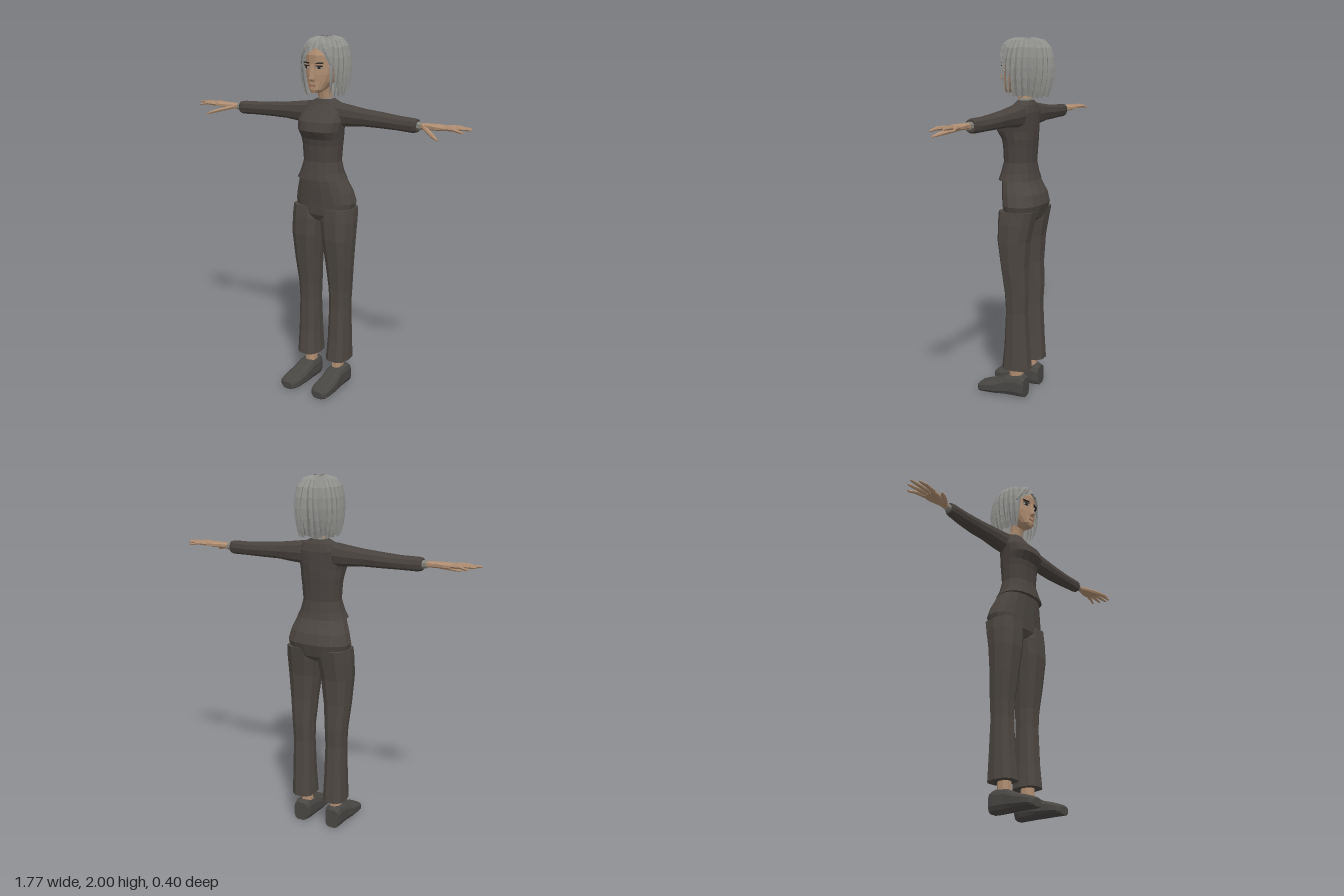
import * as THREE from 'three';

const mat = (name, color, extra = {}) => {
  const m = new THREE.MeshStandardMaterial({ color, ...extra });
  m.name = name;
  return m;
};

// Axis letter -> [axis, u, v] component indices, with u x v = axis
const AXES = { x: [0, 1, 2], y: [1, 2, 0], z: [2, 0, 1] };

function flatGeometry(positions) {
  const g = new THREE.BufferGeometry();
  g.setAttribute('position', new THREE.Float32BufferAttribute(positions, 3));
  g.computeVertexNormals();
  return g;
}

// Capped loft through sections [axisPos, uMin, uMax, vMin, vMax]; e < 1 makes them boxier
function loft(axis, sections, n = 12, e = 0.85) {
  const [A, U, V] = AXES[axis];
  const bend = t => Math.sign(t) * Math.pow(Math.abs(t), e);
  const ring = ([p, u0, u1, v0, v1], shrink = 1) => Array.from({ length: n }, (_, i) => {
    const a = (i + 0.5) / n * Math.PI * 2, q = [0, 0, 0];
    q[A] = p;
    q[U] = (u0 + u1) / 2 + (u1 - u0) / 2 * shrink * bend(Math.cos(a));
    q[V] = (v0 + v1) / 2 + (v1 - v0) / 2 * shrink * bend(Math.sin(a));
    return q;
  });
  const rings = [ring(sections[0], 0), ...sections.map(s => ring(s)), ring(sections.at(-1), 0)];
  const out = [];
  for (let r = 0; r < rings.length - 1; r++) {
    for (let i = 0; i < n; i++) {
      const j = (i + 1) % n, [a, b, c, d] = [rings[r][i], rings[r][j], rings[r + 1][j], rings[r + 1][i]];
      if (r > 0) out.push(...a, ...b, ...d);
      if (r < rings.length - 2) out.push(...b, ...c, ...d);
    }
  }
  return flatGeometry(out);
}

// Loft along y that is symmetric in x: [y, zMin, zMax, halfWidth]
const body = (secs, n, e) => loft('y', secs.map(([y, z0, z1, w]) => [y, z0, z1, -w, w]), n, e);

// Mirror in x, restoring the corner order
function mirrored(g) {
  const p = g.attributes.position, out = [];
  for (let i = 0; i < p.count; i += 3) {
    for (const k of [i, i + 2, i + 1]) out.push(-p.getX(k), p.getY(k), p.getZ(k));
  }
  return flatGeometry(out);
}

// Hair surface: angle phi from the front, u from crown (0) to tips (1), k scales outward
const hairProfile = new THREE.CatmullRomCurve3(
  [[0, 1.99], [0.5, 1.985], [0.83, 1.953], [0.96, 1.9], [1, 1.84], [0.98, 1.78], [0.9, 1.72], [0.8, 1.675]]
    .map(([s, y]) => new THREE.Vector3(s, y, 0)));
function hairPoint(phi, u, k) {
  const p = hairProfile.getPoint(Math.min(u, 1));
  return [0.118 * p.x * k * Math.sin(phi), p.y + (k - 1) * 0.08 * (1 - u), -0.04 + 0.147 * p.x * k * Math.cos(phi)];
}
function grid(rows) {
  const out = [];
  for (let r = 0; r < rows.length - 1; r++) {
    for (let i = 0; i < rows[r].length - 1; i++) {
      const [a, b, c, d] = [rows[r + 1][i], rows[r + 1][i + 1], rows[r][i + 1], rows[r][i]];
      out.push(...a, ...b, ...d, ...b, ...c, ...d);
    }
  }
  return flatGeometry(out);
}
const jitter = i => { const s = Math.sin(i * 12.9898 + 4.1) * 43758.5453; return s - Math.floor(s); };

export function createModel() {
  const model = new THREE.Group();
  const top = mat('topCloth', 0x49433f), trousers = mat('trouserCloth', 0x4d4742);
  const shoe = mat('shoeLeather', 0x494744), skin = mat('skin', 0xb08e72);
  const hair = mat('hair', 0x90908d, { side: THREE.DoubleSide });
  const lining = mat('lining', 0x85857c), dark = mat('darkEye', 0x2a2522);
  const eyeWhite = mat('eyeWhite', 0x9c968e), lips = mat('lips', 0x93695a);

  const add = (name, g, m) => {
    const mesh = new THREE.Mesh(g, m);
    mesh.name = name;
    model.add(mesh);
    return mesh;
  };
  const pair = (name, g, m) => {
    add('left' + name, g, m);
    add('right' + name, mirrored(g), m);
  };

  // Top
  add('torso', body([
    [1.232, -0.11, 0.1, 0.145], [1.27, -0.1, 0.09, 0.125], [1.33, -0.09, 0.075, 0.108],
    [1.42, -0.095, 0.078, 0.115], [1.455, -0.098, 0.085, 0.12], [1.5, -0.1, 0.115, 0.126],
    [1.55, -0.1, 0.1, 0.135], [1.6, -0.1, 0.05, 0.13], [1.64, -0.09, 0.016, 0.1], [1.663, -0.078, 0.003, 0.05],
  ], 16), top);
  pair('Sleeve', loft('x', [
    [0.09, 1.52, 1.648, -0.085, 0.02], [0.16, 1.525, 1.638, -0.085, 0.018], [0.25, 1.534, 1.626, -0.08, 0.016],
    [0.35, 1.535, 1.618, -0.08, 0.013], [0.46, 1.535, 1.609, -0.068, 0.014],
    [0.56, 1.532, 1.607, -0.048, 0.016], [0.58, 1.538, 1.603, -0.042, 0.012],
  ], 10), top);
  add('collarLining', body([[1.655, -0.076, 0.004, 0.046], [1.672, -0.073, 0.001, 0.041]], 12), lining);

  // Trousers
  add('hips', body([
    [0.995, -0.09, 0.04, 0.1], [1.03, -0.13, 0.06, 0.165], [1.1, -0.152, 0.066, 0.184],
    [1.16, -0.14, 0.072, 0.168], [1.2, -0.12, 0.076, 0.152], [1.245, -0.1, 0.08, 0.134],
  ], 16), trousers);
  pair('TrouserLeg', loft('y', [
    [0.165, -0.115, 0.05, 0.033, 0.165], [0.3, -0.105, 0.035, 0.04, 0.163], [0.5, -0.095, 0.025, 0.045, 0.16],
    [0.6, -0.1, 0.03, 0.042, 0.165], [0.75, -0.095, 0.05, 0.03, 0.18], [0.9, -0.105, 0.07, 0.013, 0.19],
    [1.0, -0.125, 0.07, 0, 0.19], [1.07, -0.14, 0.065, 0.01, 0.183],
  ], 10, 0.75), trousers);

  // Feet
  pair('Ankle', loft('y', [[0.1, -0.065, 0.015, 0.06, 0.125], [0.2, -0.065, 0.01, 0.065, 0.125]], 8), skin);
  pair('Shoe', loft('z', [
    [-0.09, 0.06, 0.145, 0, 0.112], [-0.06, 0.048, 0.15, 0, 0.125], [0.02, 0.045, 0.153, 0, 0.115],
    [0.08, 0.043, 0.162, 0, 0.085], [0.15, 0.045, 0.165, 0, 0.065], [0.185, 0.055, 0.16, 0, 0.053],
    [0.2, 0.075, 0.14, 0, 0.04],
  ], 12, 0.6), shoe);

  // Hands
  pair('WristLining', loft('x', [[0.57, 1.548, 1.594, -0.037, 0.006], [0.605, 1.553, 1.591, -0.035, 0.003]], 8), lining);
  pair('Palm', loft('x', [
    [0.59, 1.556, 1.588, -0.032, 0], [0.64, 1.558, 1.59, -0.035, 0.014],
    [0.7, 1.56, 1.59, -0.05, 0.034], [0.75, 1.566, 1.588, -0.05, 0.037],
  ], 8), skin);
  const finger = pts => loft('x', pts.map(([x, y, z, r, w = r]) => [x, y - r, y + r, z - w, z + w]), 6);
  [[-0.039, 0.84, 1.572, -0.066], [-0.017, 0.868, 1.58, -0.033], [0.005, 0.886, 1.581, 0.003], [0.026, 0.86, 1.57, 0.042]]
    .forEach(([z, tx, ty, tz], i) => pair('Finger' + (i + 1), finger([
      [0.735, 1.577, z, 0.01, 0.0115], [(0.735 + tx) / 2, 1.58, (z + tz) / 2, 0.009, 0.01],
      [tx - 0.012, ty, tz, 0.006], [tx, ty, tz, 0.002],
    ]), skin));
  pair('Thumb', finger([
    [0.62, 1.57, 0, 0.012, 0.016], [0.67, 1.556, 0.04, 0.012, 0.018],
    [0.715, 1.542, 0.075, 0.01, 0.014], [0.75, 1.53, 0.1, 0.004],
  ]), skin);

  // Neck and head
  add('neck', body([[1.63, -0.075, -0.005, 0.04], [1.7, -0.062, 0.01, 0.036], [1.78, -0.065, 0.035, 0.042]], 10), skin);
  add('head', body([
    [1.702, 0.035, 0.083, 0.018], [1.72, -0.01, 0.089, 0.043], [1.76, -0.07, 0.088, 0.066], [1.8, -0.11, 0.09, 0.08],
    [1.84, -0.125, 0.088, 0.085], [1.9, -0.125, 0.091, 0.084], [1.94, -0.11, 0.074, 0.07], [1.965, -0.08, 0.04, 0.05],
  ], 16), skin);
  add('nose', body([[1.765, 0.07, 0.095, 0.013], [1.776, 0.07, 0.113, 0.015], [1.855, 0.07, 0.093, 0.007]], 6), skin);
  add('mouth', new THREE.BoxGeometry(0.036, 0.009, 0.008), lips).position.set(0, 1.742, 0.087);
  for (const s of [-1, 1]) {
    const side = s > 0 ? 'left' : 'right';
    const plate = (name, w, h, x, y, z, m) => {
      const p = add(side + name, new THREE.BoxGeometry(w, h, 0.008), m);
      p.position.set(s * x, y, z);
      p.rotation.y = s * 0.3;
      return p;
    };
    plate('Eye', 0.034, 0.013, 0.04, 1.837, 0.082, eyeWhite);
    plate('Iris', 0.015, 0.014, 0.04, 1.837, 0.0835, dark);
    plate('Lash', 0.038, 0.005, 0.04, 1.845, 0.084, dark);
    plate('Brow', 0.042, 0.006, 0.041, 1.86, 0.083, dark).rotation.z = s * 0.06;
  }

  // Hair shell: ridged columns, short over the forehead on both sides of the parting
  const part = 0.2, columns = 44, rows = 9;
  const shell = Array.from({ length: rows }, (_, r) => Array.from({ length: columns + 1 }, (_, i) => {
    const c = i % columns, phi = c / columns * Math.PI * 2 - Math.PI;
    const d = Math.abs(phi - part);
    const length = d < 0.95 ? 0.33 + 0.2 * d : 0.93 + 0.07 * jitter(c);
    return hairPoint(phi, r / (rows - 1) * length, c % 2 ? 1.03 : 0.97);
  }));
  add('hairShell', grid(shell), hair);

  // Loose pointed locks layered over the shell
  for (let i = 0; i < 20; i++) {
    const start = 1.0 + i / 19 * 4.25, end = 0.95 + 0.05 * jitter(i + 50);
    const twist = start < Math.PI ? -0.12 : 0.12;
    const lock = Array.from({ length: 8 }, (_, r) => {
      const t = r / 7, w = 0.15 * (1 - t * t), u = 0.08 + t * (end - 0.08);
      const lift = 1.03 + 0.04 * jitter(i) + 0.03 * t;
      return [[-w, -0.05], [0, 0.02], [w, -0.05]].map(([dp, dk]) => hairPoint(start + dp + twist * t, u, lift + dk));
    });
    add('hairLock' + (i + 1), grid(lock), hair);
  }

  // Fringe swept sideways from the parting
  for (const [i, [sweep, end]] of [[-1.25, 0.62], [-1.0, 0.5], [-0.7, 0.44], [0.55, 0.46], [0.8, 0.62]].entries()) {
    const lock = Array.from({ length: 7 }, (_, r) => {
      const t = r / 6, w = 0.2 * (1 - t * t) + 0.01, phi = part + sweep * Math.pow(t, 0.8);
      return [[-w, 0], [0, 0.05], [w, 0]].map(([dp, dk]) => hairPoint(phi + dp, 0.1 + t * (end - 0.1), 1.02 + dk));
    });
    add('fringeLock' + (i + 1), grid(lock), hair);
  }
  return model;
}
